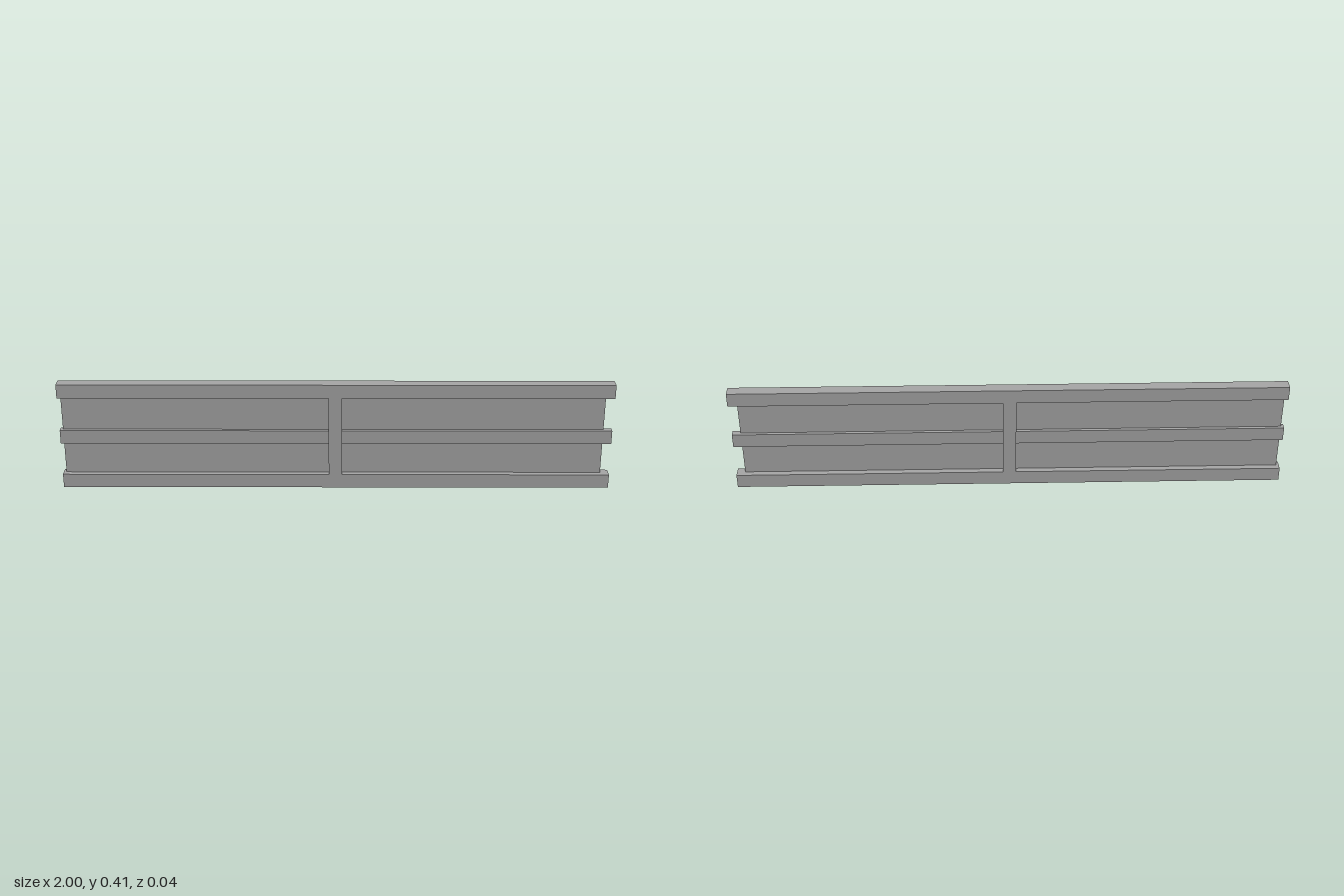
import * as THREE from 'three';

export function createModel() {
  const group = new THREE.Group();
  group.name = 'fencePanel';
  const grey = new THREE.MeshStandardMaterial({ color: 0xa6a6a6, side: THREE.DoubleSide });
  grey.name = 'grey';

  // Box given by its extents on each axis
  const bar = (name, [x0, x1], [y0, y1], [z0, z1]) => {
    const mesh = new THREE.Mesh(new THREE.BoxGeometry(x1 - x0, y1 - y0, z1 - z0), grey);
    mesh.position.set((x0 + x1) / 2, (y0 + y1) / 2, (z0 + z1) / 2);
    mesh.name = name;
    group.add(mesh);
  };

  // Horizontal rails
  bar('topRail', [-1, 1], [0.355, 0.407], [-0.0215, 0.0215]);
  bar('middleRail', [-1, 1], [0.174, 0.226], [-0.01, 0.015]);
  bar('bottomRail', [-1, 1], [0.002, 0.054], [-0.02, 0.023]);

  // Central upright
  bar('centrePost', [-0.026, 0.022], [0.048, 0.356], [-0.0215, 0.0215]);

  // Thin infill sheet between the rails
  const sheet = new THREE.Mesh(new THREE.PlaneGeometry(1.96, 0.32), grey);
  sheet.position.set(-0.01, 0.205, 0.002);
  sheet.name = 'infillSheet';
  group.add(sheet);

  return group;
}
